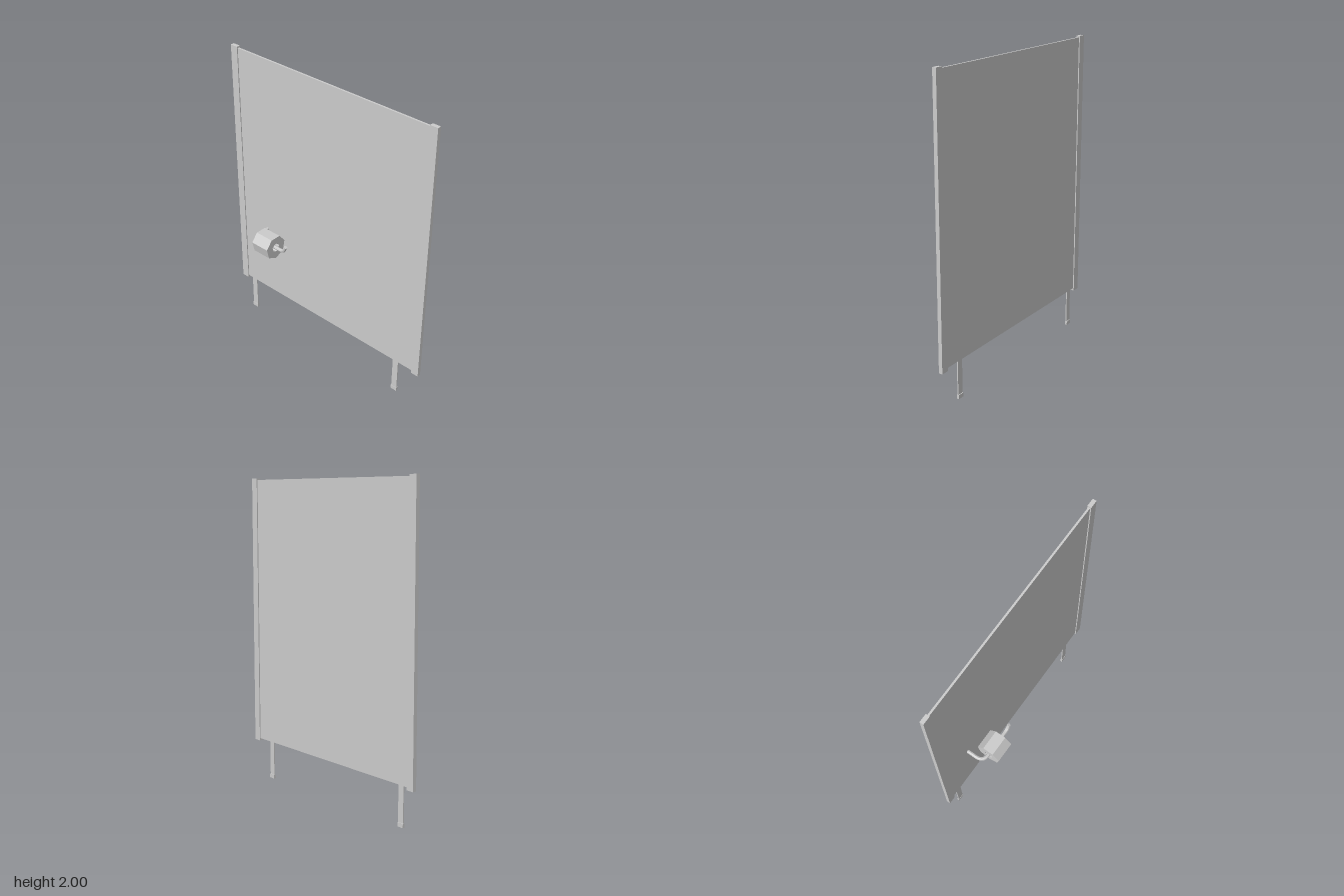
import * as THREE from 'three';

const material = new THREE.MeshStandardMaterial({ color: 0xcccccc, flatShading: true });
const PANEL_X = 0.096;

function box(name, sx, sy, sz, x, y, z) {
  const mesh = new THREE.Mesh(new THREE.BoxGeometry(sx, sy, sz), material);
  mesh.name = name;
  mesh.position.set(x, y, z);
  return mesh;
}

// Regular polygon with one corner pointing down
function polygon(target, radius, sides) {
  const points = [];
  for (let i = 0; i < sides; i++) {
    const a = -Math.PI / 2 + (i / sides) * Math.PI * 2;
    points.push(new THREE.Vector2(Math.cos(a) * radius, Math.sin(a) * radius));
  }
  return target.setFromPoints(points);
}

// Low-poly paper roll with a hollow core
function paperRoll() {
  const shape = polygon(new THREE.Shape(), 0.083, 7);
  shape.holes.push(polygon(new THREE.Path(), 0.03, 7));
  const geometry = new THREE.ExtrudeGeometry(shape, { depth: 0.135, bevelEnabled: false });
  const mesh = new THREE.Mesh(geometry, material);
  mesh.name = 'paperRoll';
  mesh.position.set(-0.03, 0.75, -0.465);
  return mesh;
}

// Bent rod: out of the panel, round a corner, through the roll, upturned tip
function rollHolder() {
  const group = new THREE.Group();
  group.name = 'rollHolder';
  const v = (x, y, z) => new THREE.Vector3(x, y, z);
  const path = new THREE.CurvePath();
  path.add(new THREE.LineCurve3(v(PANEL_X, 0.75, -0.52), v(0.025, 0.75, -0.52)));
  path.add(new THREE.QuadraticBezierCurve3(v(0.025, 0.75, -0.52), v(-0.03, 0.75, -0.52), v(-0.03, 0.75, -0.465)));
  path.add(new THREE.LineCurve3(v(-0.03, 0.75, -0.465), v(-0.03, 0.75, -0.29)));
  path.add(new THREE.QuadraticBezierCurve3(v(-0.03, 0.75, -0.29), v(-0.03, 0.75, -0.265), v(-0.03, 0.768, -0.253)));
  path.add(new THREE.LineCurve3(v(-0.03, 0.768, -0.253), v(-0.03, 0.795, -0.241)));
  const rod = new THREE.Mesh(new THREE.TubeGeometry(path, 40, 0.012, 8), material);
  rod.name = 'holderRod';

  // Flat cap closing the upturned end
  const cap = new THREE.Mesh(new THREE.CircleGeometry(0.012, 8), material);
  cap.name = 'holderCap';
  cap.position.set(-0.03, 0.795, -0.241);
  cap.lookAt(-0.03, 0.795 + 0.027, -0.241 + 0.012);
  group.add(rod, cap);
  return group;
}

export function createModel() {
  const model = new THREE.Group();
  model.name = 'partitionScreen';

  // Thin panel between two edge posts
  model.add(box('panel', 0.012, 1.74, 1.48, PANEL_X, 1.12, 0));
  for (const [name, side] of [['frontPost', 1], ['backPost', -1]]) {
    model.add(box(name, 0.025, 1.765, 0.053, PANEL_X, 1.1175, side * 0.756));
  }

  // Slim legs with small feet
  for (const [name, z] of [['frontLeg', 0.598], ['backLeg', -0.673]]) {
    const leg = new THREE.Group();
    leg.name = name;
    leg.add(box('legBar', 0.007, 0.25, 0.042, PANEL_X - 0.001, 0.135, z));
    leg.add(box('foot', 0.014, 0.026, 0.045, PANEL_X, 0.013, z - 0.001));
    model.add(leg);
  }

  model.add(paperRoll(), rollHolder());
  return model;
}
